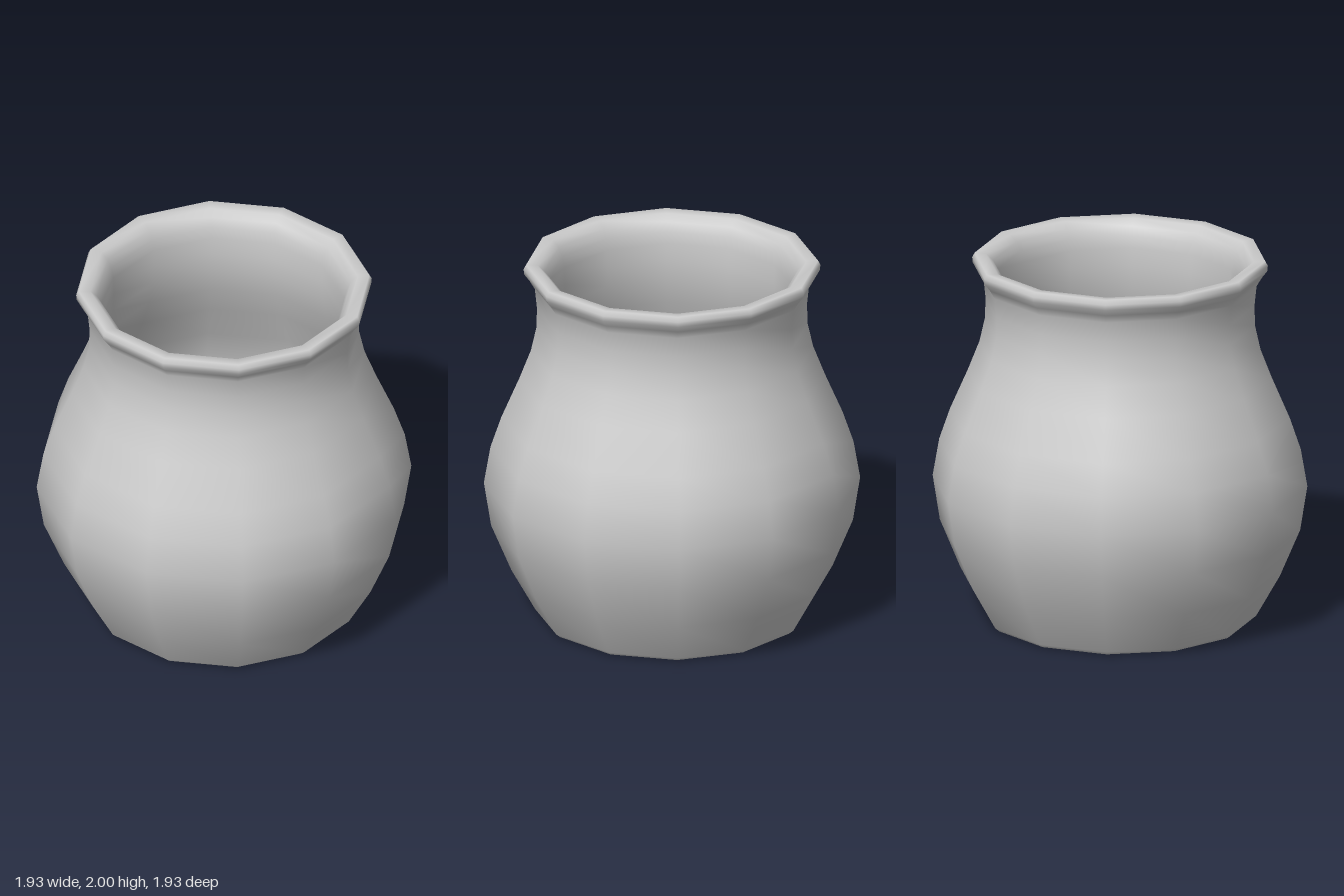
import * as THREE from 'three';

const SIDES = 12;
const FLAT = Math.cos(Math.PI / SIDES); // flat-to-corner ratio of the 12-gon

// Smooth-shaded 12-sided turned part, with flats facing the axes.
// Profile radii are measured to the flats.
function turned(name, profile) {
  const points = profile.map(([r, y]) => new THREE.Vector2(r / FLAT, y));
  const geometry = new THREE.LatheGeometry(points, SIDES, Math.PI / SIDES);
  const material = new THREE.MeshStandardMaterial({ color: 0xcccccc });
  const mesh = new THREE.Mesh(geometry, material);
  mesh.name = name;
  return mesh;
}

export function createModel() {
  const pot = new THREE.Group();
  pot.name = 'pot';

  // One continuous wall: underside, belly, neck, rolled rim, then the inside
  pot.add(turned('potWall', [
    // underside and foot
    [0, 0], [0.66, 0], [0.68, 0.005], [0.703, 0.025],
    // belly
    [0.825, 0.25], [0.93, 0.51], [0.967, 0.755], [0.933, 0.96], [0.877, 1.13],
    // shoulder and neck
    [0.785, 1.35], [0.725, 1.51], [0.697, 1.64], [0.694, 1.75], [0.705, 1.86],
    // rolled rim
    [0.732, 1.907], [0.76, 1.945], [0.763, 1.975], [0.75, 2.0],
    [0.69, 1.995], [0.655, 1.96], [0.635, 1.91],
    // inner wall
    [0.623, 1.85], [0.62, 1.75], [0.625, 1.64], [0.655, 1.5], [0.715, 1.33],
    [0.805, 1.11], [0.86, 0.945], [0.89, 0.755], [0.855, 0.53], [0.755, 0.28],
    // inner floor
    [0.65, 0.1], [0.6, 0.08], [0, 0.08],
  ]));

  return pot;
}
